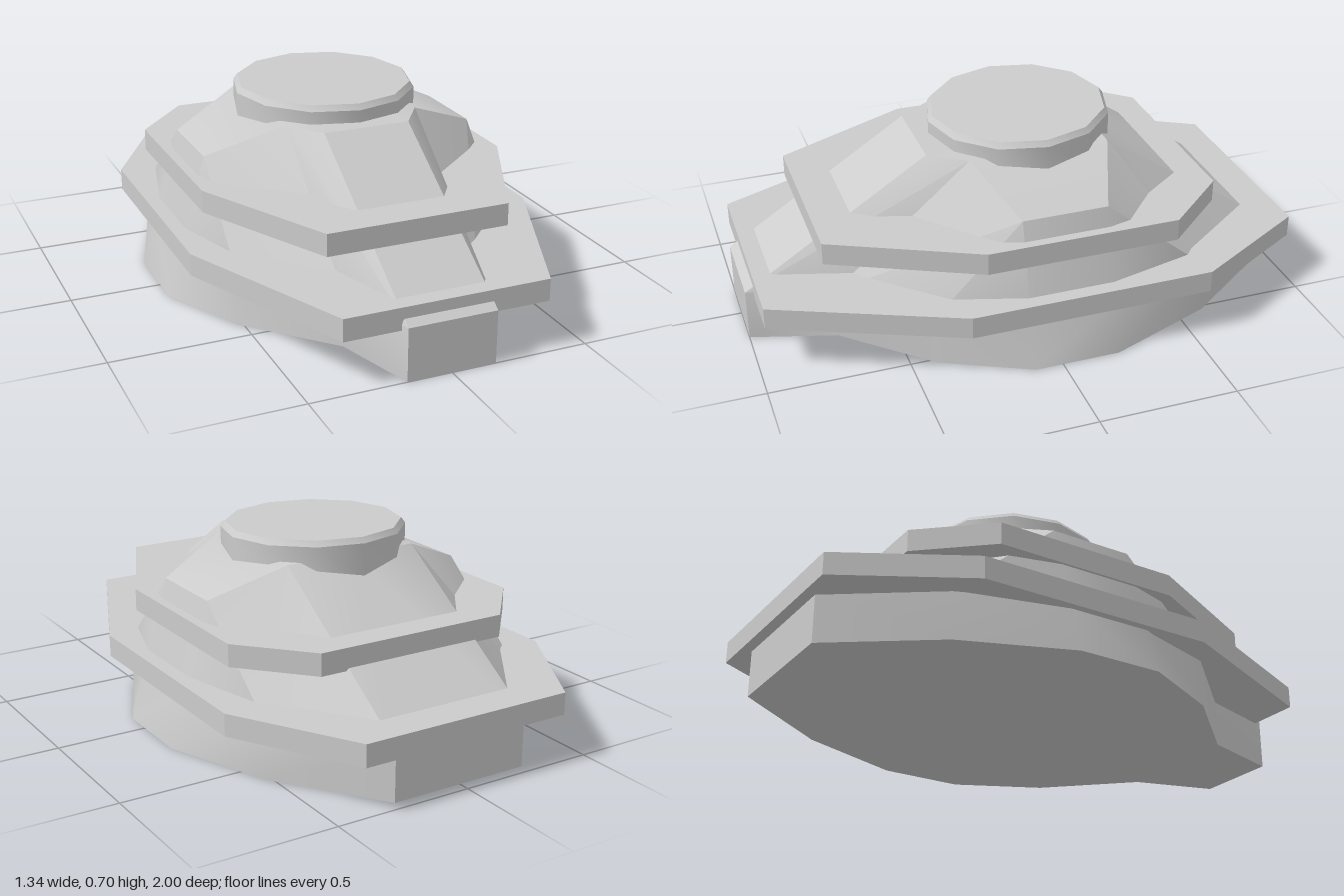
import * as THREE from 'three';
import { toCreasedNormals } from 'three/addons/utils/BufferGeometryUtils.js';

const material = new THREE.MeshStandardMaterial({ color: 0xcccccc });

function addMesh(group, name, geometry) {
  const mesh = new THREE.Mesh(geometry, material);
  mesh.name = name;
  group.add(mesh);
}

// Skins half cross-sections (front to back on the +x side) and mirrors them across x = 0
function mirroredLoft(rings) {
  const positions = [];
  const v = (p) => new THREE.Vector3(...p);
  const triangle = (a, b, c) => {
    const area = v(b).sub(v(a)).cross(v(c).sub(v(a))).length();
    if (area < 1e-7) return;
    positions.push(...a, ...b, ...c);
    for (const p of [a, c, b]) positions.push(-p[0], p[1], p[2]);
  };
  for (let r = 0; r < rings.length - 1; r++) {
    for (let i = 0; i < rings[r].length - 1; i++) {
      const a = rings[r][i], b = rings[r][i + 1];
      const c = rings[r + 1][i + 1], d = rings[r + 1][i];
      triangle(a, b, c);
      triangle(a, c, d);
    }
  }
  const geometry = new THREE.BufferGeometry();
  geometry.setAttribute('position', new THREE.Float32BufferAttribute(positions, 3));
  return toCreasedNormals(geometry, 0.55);
}

// Flat plate from a half outline of [x, z] corners
function plate(half, bottom, height) {
  const mirrored = half.map(([x, z]) => [-x, z]).reverse();
  const outline = [...half, ...mirrored].map(([x, z]) => new THREE.Vector2(x, -z));
  const geometry = new THREE.ExtrudeGeometry(new THREE.Shape(outline), { depth: height, bevelEnabled: false });
  return geometry.rotateX(-Math.PI / 2).translate(0, bottom, 0);
}

export function createModel() {
  const group = new THREE.Group();
  group.name = 'steppedTower';

  // Faceted body: upright skirt, sloping walls, side shoulders and flat roof
  const foot = [[0, 1], [0.16, 1], [0.25, 0.7], [0.52, 0.41], [0.67, 0.1],
    [0.67, -0.21], [0.52, -0.6], [0.26, -0.96], [0, -0.96]];
  const ground = foot.map(([x, z]) => [x, 0, z]);
  const skirt = foot.map(([x, z]) => [x > 0.6 ? 0.615 : x, 0.19, z]);
  const shoulder = [[0, 0.62, 0.33], [0.16, 0.62, 0.33], [0.25, 0.62, 0.2],
    [0.52, 0.51, 0.1], [0.52, 0.51, 0.1], [0.52, 0.51, -0.21], [0.52, 0.51, -0.21],
    [0.26, 0.62, -0.31], [0, 0.62, -0.31]];
  const roof = shoulder.map(([x, y, z]) =>
    y > 0.6 ? [x, y, z] : z > 0 ? [0.25, 0.62, 0.2] : [0.26, 0.62, -0.31]);
  const centre = (y) => foot.map(() => [0, y, 0]);
  addMesh(group, 'body', mirroredLoft([centre(0), ground, skirt, shoulder, roof, centre(0.62)]));

  // Two overhanging plates
  addMesh(group, 'lowerPlate',
    plate([[0.37, 0.97], [0.65, 0.32], [0.65, -0.56], [0.4, -1]], 0.17, 0.08));
  addMesh(group, 'upperPlate',
    plate([[0.33, 0.75], [0.575, 0.24], [0.575, -0.455], [0.365, -0.69]], 0.36, 0.08));

  // Twelve-sided cap with a small bevel, its top rising slightly to the back
  const profile = [[0, 0.55], [0.335, 0.55], [0.335, 0.672], [0.32, 0.692], [0, 0.692]];
  const cap = new THREE.LatheGeometry(profile.map(([r, y]) => new THREE.Vector2(r, y)), 12);
  const position = cap.attributes.position;
  for (let i = 0; i < position.count; i++) {
    const y = position.getY(i);
    if (y > 0.6) position.setY(i, y - position.getZ(i) * 0.022);
  }
  cap.translate(0, 0, -0.06);
  addMesh(group, 'cap', toCreasedNormals(cap, 0.6));

  return group;
}
